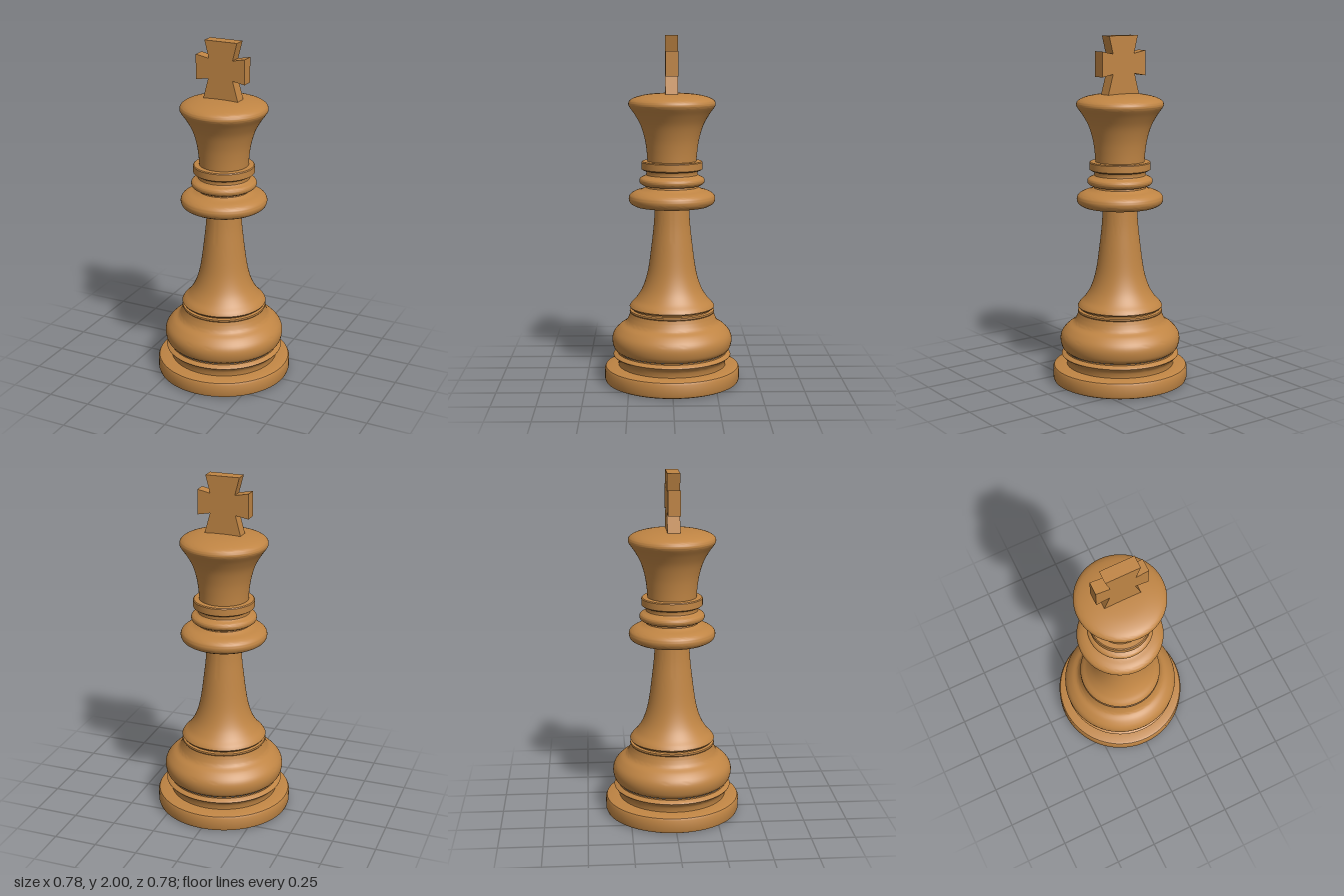
import * as THREE from 'three';
import { toCreasedNormals } from 'three/addons/utils/BufferGeometryUtils.js';

const SEGMENTS = 72;

// Smooths a list of [radius, height] points into a denser profile.
function smooth(points, divisions) {
  const curve = new THREE.SplineCurve(points.map(([r, y]) => new THREE.Vector2(r, y)));
  return curve.getPoints(divisions).map((p) => [Math.max(p.x, 0), p.y]);
}

export function createModel() {
  const group = new THREE.Group();
  const wood = new THREE.MeshStandardMaterial({ color: 0xc08544 });
  wood.name = 'warm wood';

  function add(name, geometry) {
    const mesh = new THREE.Mesh(geometry, wood);
    mesh.name = name;
    group.add(mesh);
  }

  // Turned part; the profile runs from bottom to top.
  function turn(name, profile) {
    const points = profile.map(([r, y]) => new THREE.Vector2(r, y));
    add(name, toCreasedNormals(new THREE.LatheGeometry(points, SEGMENTS), 0.6));
  }

  // Foot disc with softened rims
  turn('foot', [[0, 0], [0.375, 0], [0.387, 0.006], [0.392, 0.02], [0.392, 0.08],
    [0.386, 0.092], [0.374, 0.097], [0.31, 0.1]]);

  // Narrow neck and thin ring above the foot
  turn('footRing', [[0.312, 0.096], [0.312, 0.125], [0.322, 0.14],
    ...smooth([[0.328, 0.148], [0.34, 0.156], [0.34, 0.163], [0.328, 0.17]], 8),
    [0.318, 0.176], [0.318, 0.184]]);

  // Rounded belly
  turn('belly', [[0.3, 0.18],
    ...smooth([[0.315, 0.184], [0.338, 0.205], [0.348, 0.25], [0.338, 0.29], [0.305, 0.327],
      [0.268, 0.352], [0.25, 0.385], [0.242, 0.41]], 28),
    [0.246, 0.416], [0.244, 0.424], [0.228, 0.428], [0.228, 0.438]]);

  // Flared skirt rising into the slender stem
  turn('stem', [[0.225, 0.434], [0.24, 0.437],
    ...smooth([[0.246, 0.446], [0.234, 0.464], [0.205, 0.495], [0.174, 0.545], [0.15, 0.61],
      [0.133, 0.69], [0.116, 0.82], [0.104, 0.93], [0.098, 1.04]], 36)]);

  // Wide collar
  turn('collar', [[0.09, 1.03], [0.19, 1.03],
    ...smooth([[0.215, 1.034], [0.24, 1.05], [0.248, 1.077], [0.238, 1.1], [0.21, 1.117],
      [0.175, 1.127], [0.15, 1.14]], 22),
    [0.145, 1.16]]);

  // Middle ring
  turn('middleRing', [[0.14, 1.15],
    ...smooth([[0.165, 1.152], [0.182, 1.163], [0.187, 1.179], [0.18, 1.194], [0.158, 1.204]], 14),
    [0.148, 1.212], [0.146, 1.225], [0.152, 1.238]]);

  // Flat upper ring
  turn('upperRing', [[0.14, 1.236], [0.165, 1.238], [0.175, 1.245], [0.175, 1.284],
    [0.17, 1.289], [0.13, 1.291]]);

  // Flared head with domed top
  turn('head', [
    ...smooth([[0.14, 1.285], [0.145, 1.35], [0.156, 1.42], [0.179, 1.495], [0.212, 1.555],
      [0.24, 1.595], [0.248, 1.613], [0.241, 1.634], [0.21, 1.652], [0.15, 1.667],
      [0.08, 1.674], [0, 1.676]], 44)]);

  // Flared cross, outlined clockwise from the lower left
  const outline = [[-0.112, 1.66], [-0.078, 1.787], [-0.154, 1.773], [-0.154, 1.915],
    [-0.074, 1.9], [-0.1, 2], [0.096, 2], [0.07, 1.9], [0.143, 1.915], [0.143, 1.773],
    [0.07, 1.787], [0.106, 1.66]];
  const shape = new THREE.Shape(outline.map(([x, y]) => new THREE.Vector2(x, y)));
  const cross = new THREE.ExtrudeGeometry(shape, { depth: 0.072, bevelEnabled: false });
  cross.translate(0, 0, -0.033);
  add('cross', cross);

  return group;
}
